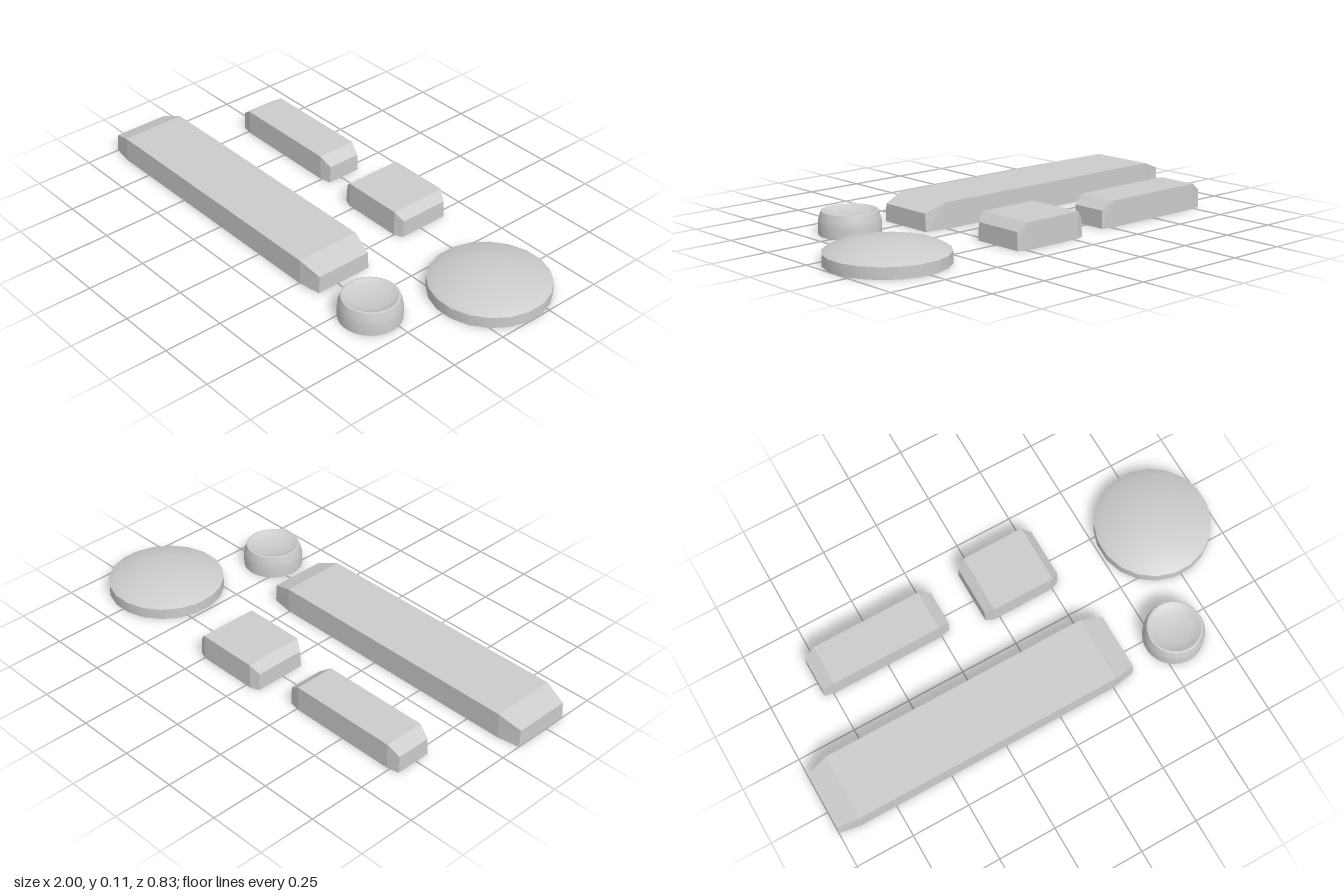
import * as THREE from 'three';
import { toCreasedNormals } from 'three/addons/utils/BufferGeometryUtils.js';

const material = new THREE.MeshStandardMaterial({ color: 0xcccccc, side: THREE.DoubleSide });
const flatMaterial = new THREE.MeshStandardMaterial({ color: 0xcccccc, side: THREE.DoubleSide, flatShading: true });

// Hollow key, open underneath, with sloped and slightly narrowed ends
function barGeometry(length, width, slope, inset) {
  const h = length / 2, w = width / 2;
  const sections = [ // x, half width at bottom, half width at top, height
    [-h, w - inset * 0.75, w - inset, 0.075],
    [-h + slope, w, w, 0.11],
    [h - slope, w, w, 0.11],
    [h, w - inset * 0.75, w - inset, 0.075],
  ];
  const points = [], index = [];
  for (const [x, bottom, top, y] of sections) {
    points.push(x, 0, bottom, x, y, top, x, y, -top, x, 0, -bottom);
  }
  for (let s = 0; s < 3; s++) {
    for (let k = 0; k < 3; k++) {
      const a = s * 4 + k, b = a + 4;
      index.push(a, b, b + 1, a, b + 1, a + 1);
    }
  }
  // End walls
  index.push(0, 1, 2, 0, 2, 3, 12, 14, 13, 12, 15, 14);
  const geometry = new THREE.BufferGeometry();
  geometry.setAttribute('position', new THREE.Float32BufferAttribute(points, 3));
  geometry.setIndex(index);
  const flat = geometry.toNonIndexed();
  flat.computeVertexNormals();
  return flat;
}

// Round shell, open underneath
function roundGeometry(profile, sides) {
  const points = profile.map(([r, y]) => new THREE.Vector2(r, y));
  return toCreasedNormals(new THREE.LatheGeometry(points, sides, Math.PI / sides), 0.6);
}

export function createModel() {
  const group = new THREE.Group();
  const add = (name, geometry, mat, x, z) => {
    const mesh = new THREE.Mesh(geometry, mat);
    mesh.name = name;
    mesh.position.set(x, 0, z);
    group.add(mesh);
  };

  // Three rectangular keys
  add('longKey', barGeometry(1.35, 0.286, 0.095, 0.02), flatMaterial, -0.325, 0.219);
  add('mediumKey', barGeometry(0.58, 0.178, 0.05, 0.014), flatMaterial, -0.498, -0.266);
  add('shortKey', barGeometry(0.345, 0.258, 0.036, 0.02), flatMaterial, 0.113, -0.265);

  // Wide low domed disc
  add('domedDisc', roundGeometry(
    [[0.246, 0], [0.246, 0.047], [0.21, 0.066], [0.105, 0.09], [0, 0.093]], 20), material, 0.755, -0.173);

  // Small button with a dished top
  add('dishedButton', roundGeometry(
    [[0.127, 0], [0.127, 0.05], [0.124, 0.065], [0.115, 0.094], [0.108, 0.096],
      [0.09, 0.087], [0.07, 0.08], [0, 0.077]], 32), material, 0.579, 0.286);

  return group;
}
